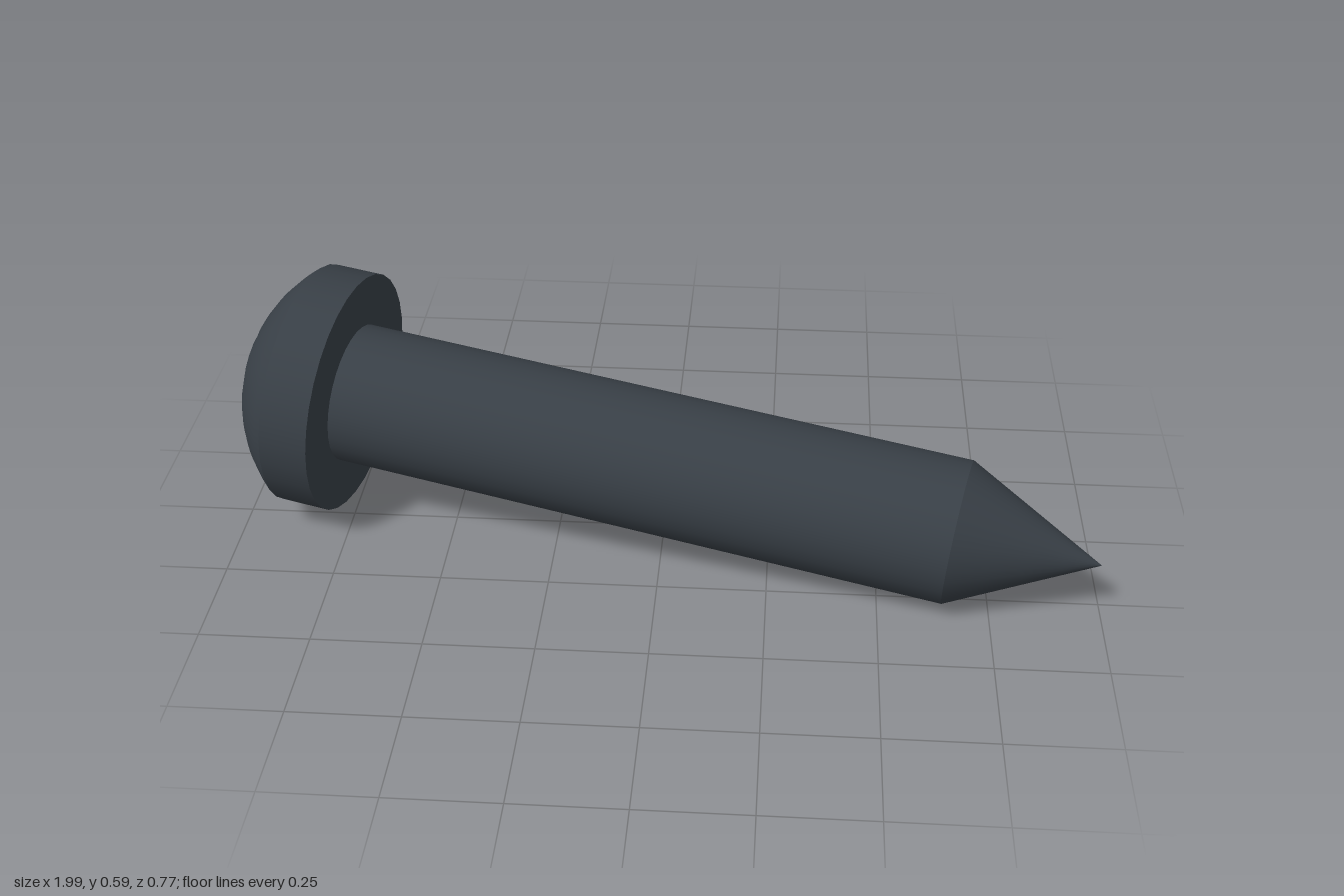
import * as THREE from 'three';

const SIDES = 32;
const SHAFT_R = 0.165, SHAFT_LEN = 1.452, TIP_LEN = 0.324;
const HEAD_R = 0.287, RIM_H = 0.115, DOME_H = 0.14;
const DOME_R = (HEAD_R ** 2 + DOME_H ** 2) / (2 * DOME_H);
const ARM = 0.157, ARM_W = ARM * Math.tan(Math.PI / 8); // cross corners fall on the 32 spokes

// Height of the domed head at a distance from the axis
const domeY = (r) => RIM_H + DOME_H - DOME_R + Math.sqrt(DOME_R ** 2 - r * r);

// Distance from the axis to the outline of the cross, at one angle
function crossRadius(a) {
  const c = Math.abs(Math.cos(a)), s = Math.abs(Math.sin(a));
  const big = Math.max(c, s), small = Math.min(c, s);
  return Math.min(ARM / big, ARM_W / Math.max(small, 1e-6));
}

// Skin a list of rings; each ring maps an angle to [radius, height]
function loftRings(rings) {
  const pos = [], index = [];
  for (const ring of rings) {
    for (let j = 0; j < SIDES; j++) {
      const a = (j / SIDES) * Math.PI * 2;
      const [r, y] = ring(a);
      pos.push(r * Math.cos(a), y, r * Math.sin(a));
    }
  }
  for (let i = 0; i < rings.length - 1; i++) {
    for (let j = 0; j < SIDES; j++) {
      const k = (j + 1) % SIDES;
      const A = i * SIDES + j, B = i * SIDES + k, C = A + SIDES, D = B + SIDES;
      index.push(A, B, C, B, D, C);
    }
  }
  const geo = new THREE.BufferGeometry();
  geo.setAttribute('position', new THREE.Float32BufferAttribute(pos, 3));
  geo.setIndex(index);
  return geo;
}

export function createModel() {
  const steel = new THREE.MeshStandardMaterial({ color: 0x383f46 });
  steel.name = 'dark steel';

  const screw = new THREE.Group();
  screw.name = 'screw';
  const add = (name, geo, y = 0) => {
    const mesh = new THREE.Mesh(geo, steel);
    mesh.name = name;
    mesh.position.y = y;
    screw.add(mesh);
  };

  // Shaft and pointed tip
  add('shaft', new THREE.CylinderGeometry(SHAFT_R, SHAFT_R, SHAFT_LEN, SIDES), -SHAFT_LEN / 2);
  add('tip', new THREE.CylinderGeometry(SHAFT_R, 0, TIP_LEN, SIDES, 4), -SHAFT_LEN - TIP_LEN / 2);

  // Straight rim of the head
  add('headRim', new THREE.CylinderGeometry(HEAD_R, HEAD_R, RIM_H, SIDES), RIM_H / 2);

  // Dome, running from the cross outline out to the rim
  const domeRings = [];
  const steps = 8;
  for (let i = 0; i <= steps; i++) {
    domeRings.push((a) => {
      const r = THREE.MathUtils.lerp(crossRadius(a), HEAD_R, i / steps);
      return [r, domeY(r)];
    });
  }
  const dome = loftRings(domeRings);
  dome.computeVertexNormals();
  add('headDome', dome);

  // Cross recess: flat floor and slightly tapered walls
  const floorY = RIM_H + DOME_H - 0.1;
  const recess = loftRings([
    () => [0, floorY],
    (a) => [crossRadius(a) * 0.85, floorY],
    (a) => [crossRadius(a), domeY(crossRadius(a))],
  ]).toNonIndexed();
  recess.computeVertexNormals();
  add('crossRecess', recess);

  // Lay the screw along its slanted axis, with one arm of the cross upright
  const out = new THREE.Vector3(-1.73, 0.157, -0.37).normalize();
  const side = new THREE.Vector3().crossVectors(out, new THREE.Vector3(0, 1, 0)).normalize();
  const up = new THREE.Vector3().crossVectors(side, out);
  screw.quaternion.setFromRotationMatrix(new THREE.Matrix4().makeBasis(side, out, up.negate().negate()));
  screw.position.set(-0.74, 0.297, -0.08);

  const model = new THREE.Group();
  model.name = 'model';
  model.add(screw);
  return model;
}
